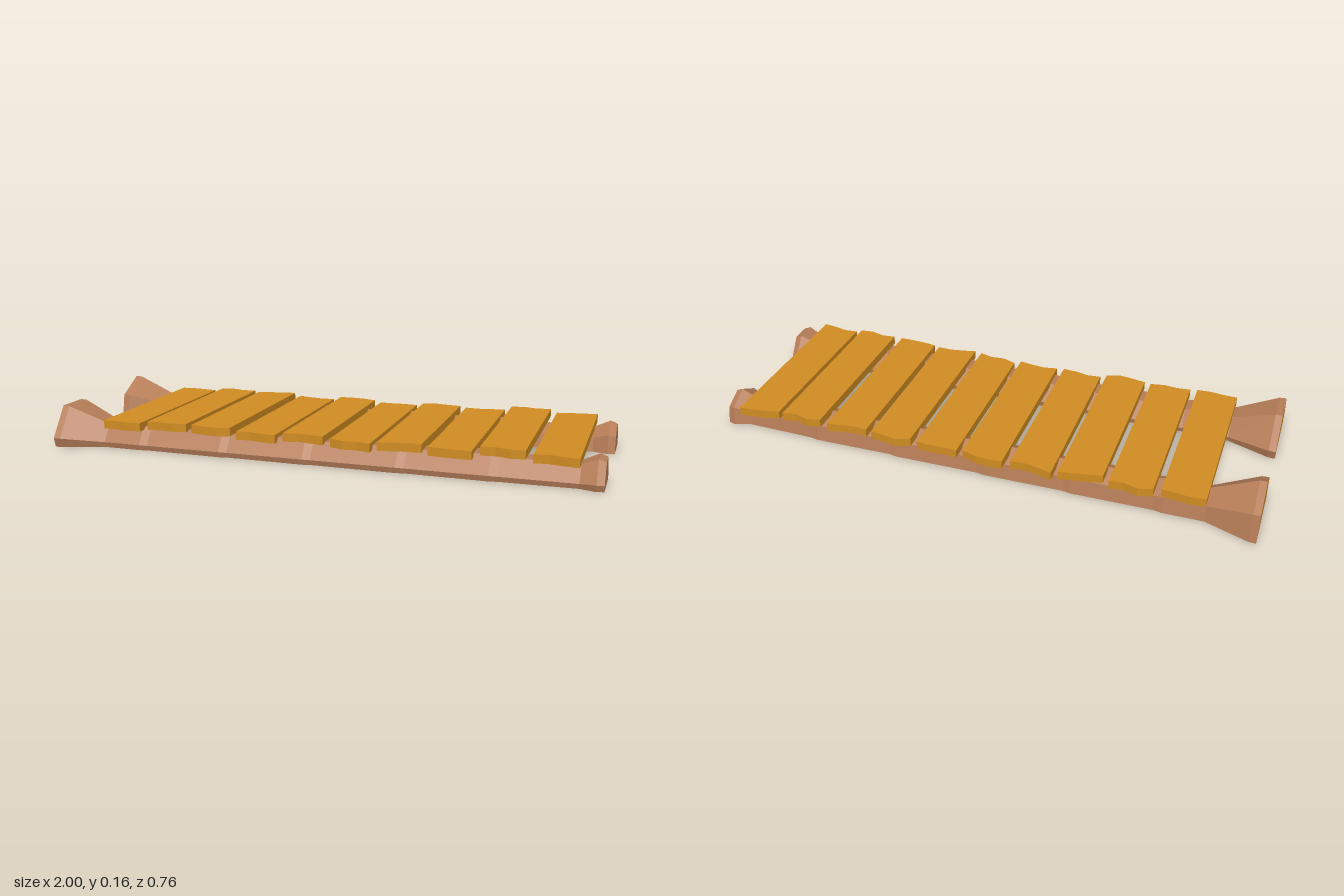
import * as THREE from 'three';

const wood = new THREE.MeshStandardMaterial({ color: 0xb57c57, flatShading: true, side: THREE.DoubleSide });
const plankWood = new THREE.MeshStandardMaterial({ color: 0xd08c22, flatShading: true, side: THREE.DoubleSide });

// Half cross-sections [z, y] at full size, running from +z over the top to -z
const flatProfile = [[0.125, 0], [0.135, 0.035], [0.058, 0.145], [-0.065, 0.145], [-0.142, 0.035], [-0.133, 0]];
const peakProfile = [[0.13, 0], [0.11, 0.1], [0, 0.16], [-0.11, 0.1], [-0.13, 0]];

// [x, scale] along a log: flared foot, stepped joints, rounded tip
const stations = [[-1, 1], [-0.975, 0.99], [-0.82, 0.56]];
for (const x of [-0.66, -0.34, -0.02, 0.32, 0.64]) stations.push([x - 0.015, 0.58], [x + 0.015, 0.535]);
stations.push([0.92, 0.51], [0.975, 0.67], [1, 0.61]);

function meshFrom(name, positions, material) {
  const geometry = new THREE.BufferGeometry();
  geometry.setAttribute('position', new THREE.Float32BufferAttribute(positions, 3));
  geometry.computeVertexNormals();
  const mesh = new THREE.Mesh(geometry, material);
  mesh.name = name;
  return mesh;
}

// Fan that closes one end of a log
function capFrom(name, ring, flip, material) {
  const p = [];
  for (let j = 1; j < ring.length - 1; j++) {
    p.push(...ring[0], ...(flip ? [...ring[j + 1], ...ring[j]] : [...ring[j], ...ring[j + 1]]));
  }
  return meshFrom(name, p, material);
}

// Log hollow underneath, lofted through the stations
function makeLog(name, profile, z) {
  const rings = stations.map(([x, s]) => profile.map(([pz, py]) => [x, py * s, z + pz * s]));
  const p = [];
  for (let i = 0; i < rings.length - 1; i++) {
    for (let j = 0; j < profile.length - 1; j++) {
      const a = rings[i][j], b = rings[i + 1][j], c = rings[i + 1][j + 1], d = rings[i][j + 1];
      p.push(...a, ...b, ...c, ...a, ...c, ...d);
    }
  }
  const log = new THREE.Group();
  log.name = name;
  log.add(
    meshFrom('logBark', p, wood),
    capFrom('logCutEnd', rings[0], false, plankWood),
    capFrom('logTip', rings[rings.length - 1], true, wood)
  );
  return log;
}

// Plank with ragged ends; back and front list z across its width
function makePlank(x, top, back, front) {
  const width = 0.152, thickness = 0.031;
  const edge = (zs) => zs.map((z, i) => new THREE.Vector2(-width / 2 + (width * i) / (zs.length - 1), -z));
  const shape = new THREE.Shape([...edge(front), ...edge(back).reverse()]);
  const geometry = new THREE.ExtrudeGeometry(shape, { depth: thickness, bevelEnabled: false });
  geometry.rotateX(-Math.PI / 2);
  const plank = new THREE.Mesh(geometry, plankWood);
  plank.name = 'plank';
  plank.position.set(x, top - thickness, 0);
  return plank;
}

// [top height, back edge z, front edge z]
const planks = [
  [0.103, [-0.335, -0.34, -0.335, -0.33], [0.32, 0.322, 0.328, 0.325]],
  [0.108, [-0.345, -0.36, -0.345, -0.35], [0.31, 0.305, 0.31, 0.3]],
  [0.108, [-0.33, -0.34, -0.35, -0.358], [0.305, 0.315, 0.322, 0.305]],
  [0.097, [-0.358, -0.345, -0.335, -0.34], [0.305, 0.3, 0.312, 0.315]],
  [0.103, [-0.36, -0.365, -0.358, -0.342], [0.3, 0.29, 0.295, 0.305]],
  [0.096, [-0.342, -0.34, -0.342, -0.338], [0.295, 0.315, 0.31, 0.325]],
  [0.103, [-0.338, -0.358, -0.348, -0.342], [0.32, 0.308, 0.3, 0.302]],
  [0.1, [-0.335, -0.33, -0.338, -0.346], [0.315, 0.322, 0.325, 0.326]],
  [0.113, [-0.35, -0.36, -0.345, -0.355], [0.305, 0.3, 0.315, 0.31]],
  [0.103, [-0.34, -0.35, -0.358, -0.362], [0.31, 0.305, 0.318, 0.325]],
];

export function createModel() {
  const model = new THREE.Group();
  model.name = 'plankWalkway';
  model.add(makeLog('frontLog', flatProfile, 0.25), makeLog('backLog', peakProfile, -0.25));

  const deck = new THREE.Group();
  deck.name = 'deck';
  planks.forEach(([top, back, front], i) => deck.add(makePlank(-0.745 + i * 0.1765, top, back, front)));
  model.add(deck);
  return model;
}
